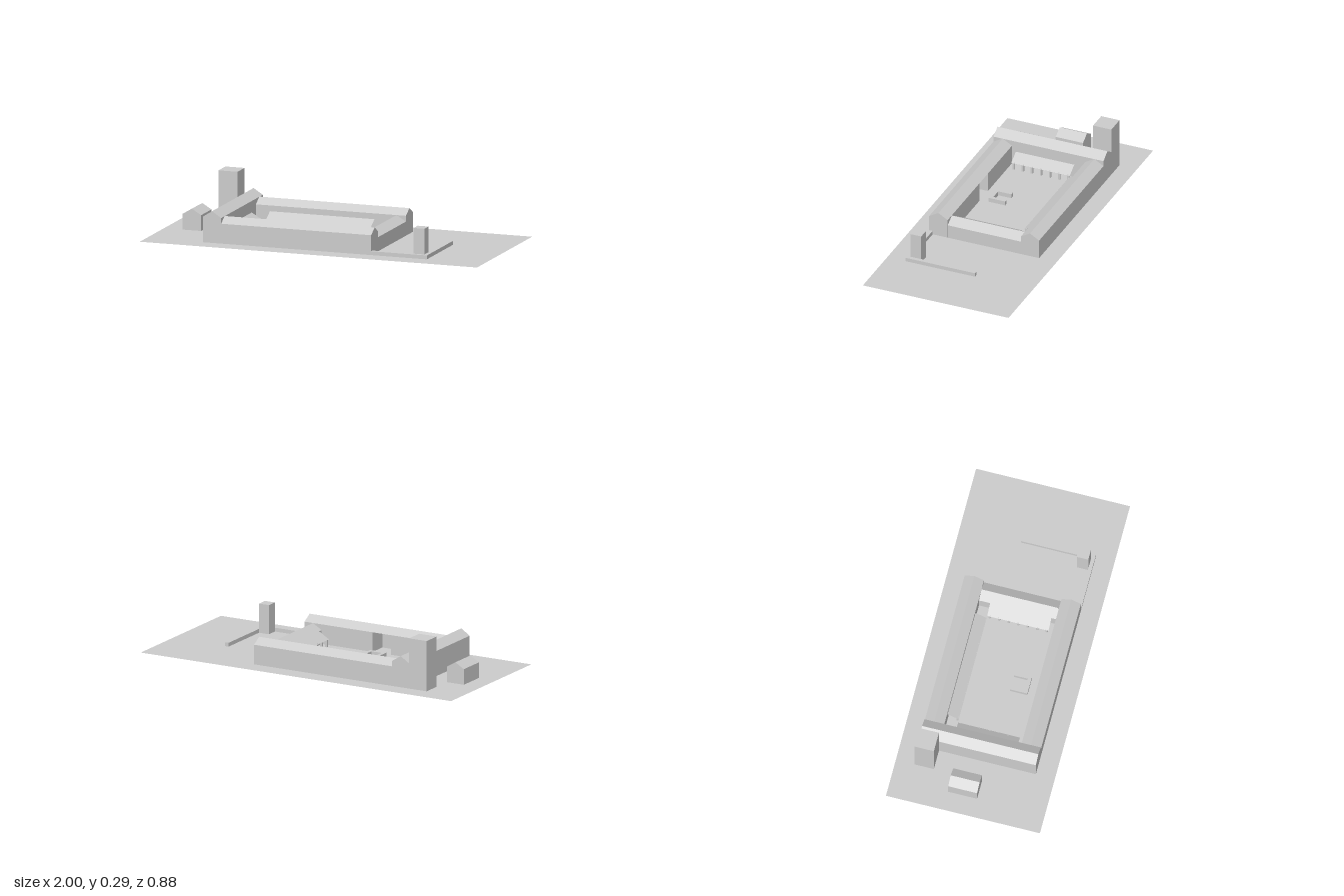
import * as THREE from 'three';

const mat = new THREE.MeshStandardMaterial({ color: 0xcccccc, flatShading: true, side: THREE.DoubleSide });

export function createModel() {
  const root = new THREE.Group();

  const add = (name, geometry, parent = root) => {
    const mesh = new THREE.Mesh(geometry, mat);
    mesh.name = name;
    parent.add(mesh);
    return mesh;
  };

  // Box given by its limits on each axis
  const box = (name, x0, x1, y0, y1, z0, z1, parent) =>
    add(name, new THREE.BoxGeometry(x1 - x0, y1 - y0, z1 - z0)
      .translate((x0 + x1) / 2, (y0 + y1) / 2, (z0 + z1) / 2), parent);

  // Gabled block; the ridge runs along the given axis
  const gable = (name, axis, x0, x1, z0, z1, eave, ridge, base = 0, parent = root) => {
    const alongX = axis === 'x';
    const width = alongX ? z1 - z0 : x1 - x0;
    const length = alongX ? x1 - x0 : z1 - z0;
    const h = width / 2;
    const points = [[-h, eave], [-h, base], [h, base], [h, eave], [0, ridge]];
    if (base === eave) points.shift(), points.splice(2, 1);
    const shape = new THREE.Shape(points.map(([a, b]) => new THREE.Vector2(a, b)));
    const geo = new THREE.ExtrudeGeometry(shape, { depth: length, bevelEnabled: false });
    geo.translate(0, 0, -length / 2);
    if (alongX) geo.rotateY(Math.PI / 2);
    geo.translate((x0 + x1) / 2, 0, (z0 + z1) / 2);
    return add(name, geo, parent);
  };

  // Ground
  add('ground', new THREE.PlaneGeometry(2, 0.885).rotateX(-Math.PI / 2));

  // Main wings, tower and outbuilding
  gable('westWing', 'z', -0.667, -0.558, -0.335, 0.333, 0.145, 0.18);
  gable('northWing', 'x', -0.558, 0.332, -0.335, -0.224, 0.113, 0.146);
  gable('eastWing', 'z', 0.221, 0.332, -0.224, 0.22, 0.08, 0.113);
  box('tower', -0.78, -0.667, 0, 0.29, -0.335, -0.224);
  gable('outbuilding', 'z', -0.89, -0.78, -0.113, 0.053, 0.09, 0.122);

  // South wing, with a recess open to the courtyard
  const south = new THREE.Group();
  south.name = 'southWing';
  root.add(south);
  const r0 = -0.226, r1 = -0.107;
  gable('southWingRoof', 'x', -0.558, 0.332, 0.221, 0.333, 0.113, 0.146, 0.113, south);
  box('southWingWestPart', -0.558, r0, 0, 0.113, 0.221, 0.333, south);
  box('southWingEastPart', r1, 0.332, 0, 0.113, 0.221, 0.333, south);
  box('recessBackWall', r0, r1, 0, 0.113, 0.328, 0.333, south);

  // Lean-to walks: thin sloping roof on a row of posts.
  // Local frame: the walk runs along x, its high edge at z = 0, its low edge at z = depth.
  const walk = (name, length, count, x, z, turn) => {
    const depth = 0.064, high = 0.08, low = 0.042, post = 0.011;
    const group = new THREE.Group();
    group.name = name;
    const roof = new THREE.PlaneGeometry(length, Math.hypot(depth, high - low));
    roof.rotateX(-Math.PI / 2 + Math.atan2(high - low, depth));
    roof.translate(0, (high + low) / 2, depth / 2);
    add('walkRoof', roof, group);
    for (let i = 0; i < count; i++) {
      const px = -length / 2 + 0.012 + (i / (count - 1)) * (length - 0.024);
      box('walkPost', px - post / 2, px + post / 2, 0, 0.045, depth - 0.015, depth - 0.004, group);
    }
    group.position.set(x, 0, z);
    group.rotation.y = turn;
    root.add(group);
  };
  walk('northWalk', 0.62, 13, -0.165, -0.224, 0);
  walk('westWalk', 0.355, 7, -0.558, 0.02, Math.PI / 2);
  walk('eastWalk', 0.352, 7, 0.221, 0.016, -Math.PI / 2);

  // Low three-sided enclosure in the courtyard
  const pen = new THREE.Group();
  pen.name = 'courtyardEnclosure';
  root.add(pen);
  box('enclosureWall', -0.226, -0.206, 0, 0.025, 0.07, 0.17, pen);
  box('enclosureWall', -0.14, -0.12, 0, 0.025, 0.07, 0.17, pen);
  box('enclosureWall', -0.206, -0.14, 0, 0.025, 0.15, 0.17, pen);

  // Low garden wall and gate pillar
  box('gardenWallFront', 0.332, 0.662, 0, 0.022, 0.312, 0.333);
  box('gardenWallSide', 0.64, 0.662, 0, 0.022, -0.09, 0.312);
  box('pillar', 0.576, 0.64, 0, 0.168, 0.246, 0.312);

  return root;
}
